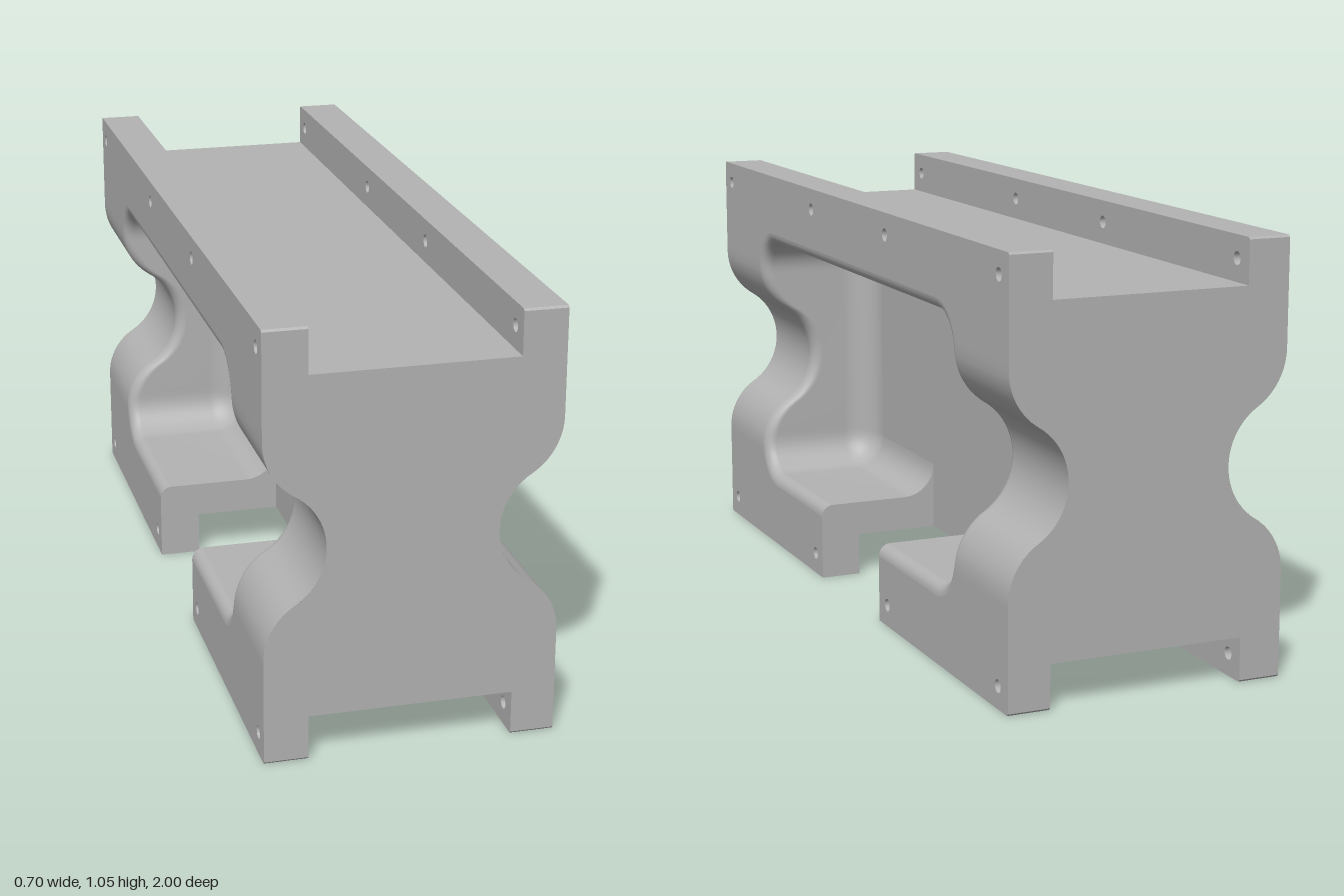
import * as THREE from 'three';

const HALF = 0.35, DECK = 0.245, LOW = 0.11, HIGH = 0.94, TOP = 1.05;
const WEB = 0.025, NOTCH = 0.21, RIM = 0.03, FILLET = 0.085;

// Half-width of the waisted block at height y: two tangent arcs
function halfWidth(y) {
  const d = Math.abs(y - 0.525), r = 0.156, reach = 0.2646;
  if (d < reach / 2) return 0.203 + r - Math.sqrt(r * r - d * d);
  if (d < reach) return HALF - r + Math.sqrt(r * r - (reach - d) ** 2);
  return HALF;
}

// Open rounded-rectangle path (u = -z, y) inset by o, starting and ending at the notch
function pocketPath(o) {
  const w = 0.675 - o, y0 = 0.2 + o, y1 = 0.86 - o, r = 0.09 - o, N = 10, M = 40;
  const pts = [[NOTCH, y0]];
  const corner = (cu, cy, start) => {
    for (let i = 0; i <= N; i++) {
      const a = start + (i / N) * Math.PI / 2;
      pts.push([cu + r * Math.cos(a), cy + r * Math.sin(a)]);
    }
  };
  const side = (u, a, b) => {
    for (let i = 1; i < M; i++) pts.push([u, a + (b - a) * i / M]);
  };
  corner(w - r, y0 + r, -Math.PI / 2);
  side(w, y0 + r, y1 - r);
  corner(w - r, y1 - r, 0);
  corner(-w + r, y1 - r, Math.PI / 2);
  side(-w, y1 - r, y0 + r);
  corner(-w + r, y0 + r, Math.PI);
  pts.push([-NOTCH, y0]);
  return pts;
}

// Smooth surface through rows of [x, y, z] points
function loft(rows) {
  const n = rows[0].length, index = [];
  for (let i = 0; i < rows.length - 1; i++)
    for (let j = 0; j < n - 1; j++) {
      const a = i * n + j, d = a + n;
      index.push(a, a + 1, d + 1, a, d + 1, d);
    }
  const g = new THREE.BufferGeometry();
  g.setAttribute('position', new THREE.Float32BufferAttribute(rows.flat(2), 3));
  g.setIndex(index);
  g.computeVertexNormals();
  return g;
}

const shapeOf = pts => new THREE.Shape(pts.map(p => new THREE.Vector2(p[0], p[1])));

export function createModel() {
  const model = new THREE.Group();
  model.name = 'waistedBlock';
  const grey = new THREE.MeshStandardMaterial({ color: 0xb3b3b3, side: THREE.DoubleSide });
  grey.name = 'plain grey';
  const add = (parent, name, geometry) => {
    const mesh = new THREE.Mesh(geometry, grey);
    mesh.name = name;
    parent.add(mesh);
    return mesh;
  };

  // Lip plate in the (u, y) plane with bolt holes and tiny chamfers at its outer ends
  function lip(pts, holes) {
    const shape = shapeOf(pts);
    for (const [u, y] of holes)
      shape.holes.push(new THREE.Path().absarc(u, y, 0.016, 0, Math.PI * 2, true));
    return new THREE.ExtrudeGeometry(shape, { depth: HALF - DECK, bevelEnabled: false, curveSegments: 20 })
      .rotateY(Math.PI / 2).translate(DECK, 0, 0);
  }

  // Pocket section steps [inset, x from half-width]: rounded rim, wall, inner fillet
  const steps = [];
  for (let i = 0; i <= 6; i++) {
    const a = (i / 6) * Math.PI / 2;
    steps.push([-RIM + RIM * Math.sin(a), p => p - RIM * (1 - Math.cos(a))]);
  }
  for (let i = 0; i <= 8; i++) {
    const a = (i / 8) * Math.PI / 2;
    steps.push([FILLET * (1 - Math.cos(a)), () => WEB + FILLET * (1 - Math.sin(a))]);
  }
  const outer = pocketPath(-RIM), inner = pocketPath(FILLET);
  const rings = steps.map(([o, x]) =>
    pocketPath(o).map(([u, y], j) => [x(halfWidth(outer[j][1])), y, -u]));

  function buildSide(name) {
    const side = new THREE.Group();
    side.name = name;
    add(side, 'pocketWall', loft(rings));

    // Pocket floor with a tongue down through the notch
    add(side, 'pocketFloor', new THREE.ShapeGeometry(
      shapeOf([...inner, [-NOTCH, LOW], [NOTCH, LOW]])).rotateY(Math.PI / 2).translate(WEB, 0, 0));

    // Curved flanks between the pocket and each end
    for (const s of [1, -1]) {
      const edge = rings[0].slice(1, -1).filter(p => p[2] * s < 0);
      add(side, 'curvedFlank', loft([edge.map(([x, y]) => [x, y, -s]), edge]));
    }

    // Notch side walls
    const section = steps.map(([o, x]) => [x(HALF), 0.2 + o]);
    for (const z of [NOTCH, -NOTCH])
      add(side, 'notchWall', new THREE.ShapeGeometry(
        shapeOf([...section, [WEB, LOW], [HALF, LOW]])).translate(0, 0, z));

    // Upper lip, and two lower lips either side of the notch
    const c = 0.005, hy = 0.995, ly = 0.055;
    add(side, 'upperLip', lip(
      [[-1, 0.89], [1, 0.89], [1, TOP - c], [1 - c, TOP], [-1 + c, TOP], [-1, TOP - c]],
      [-0.945, -0.265, 0.265, 0.945].map(u => [u, hy])));
    for (const s of [1, -1])
      add(side, 'lowerLip', lip(
        [[s * NOTCH, 0], [s * (1 - c), 0], [s, c], [s, 0.17], [s * NOTCH, 0.17]],
        [[s * 0.265, ly], [s * 0.945, ly]]));
    return side;
  }

  const left = buildSide('leftSide');
  const right = buildSide('rightSide');
  right.rotation.y = Math.PI;
  model.add(left, right);

  // Waisted end faces
  const profile = [];
  for (let i = 0; i <= 80; i++) {
    const y = LOW + (HIGH - LOW) * i / 80;
    profile.push([halfWidth(y), y]);
  }
  const outline = [...profile, ...profile.map(([x, y]) => [-x, y]).reverse()];
  add(model, 'frontFace', new THREE.ShapeGeometry(shapeOf(outline)).translate(0, 0, 1));
  add(model, 'backFace', new THREE.ShapeGeometry(shapeOf(outline)).rotateY(Math.PI).translate(0, 0, -1));

  // Channel floors on top and underneath
  const deck = (name, w, l, y, z, up) => add(model, name,
    new THREE.PlaneGeometry(w, l).rotateX(up ? -Math.PI / 2 : Math.PI / 2).translate(0, y, z));
  deck('topDeck', DECK * 2, 2, HIGH, 0, true);
  deck('webUnderside', WEB * 2, NOTCH * 2, LOW, 0, false);
  for (const s of [1, -1])
    deck('bottomDeck', DECK * 2, 1 - NOTCH, LOW, s * (1 + NOTCH) / 2, false);

  return model;
}
